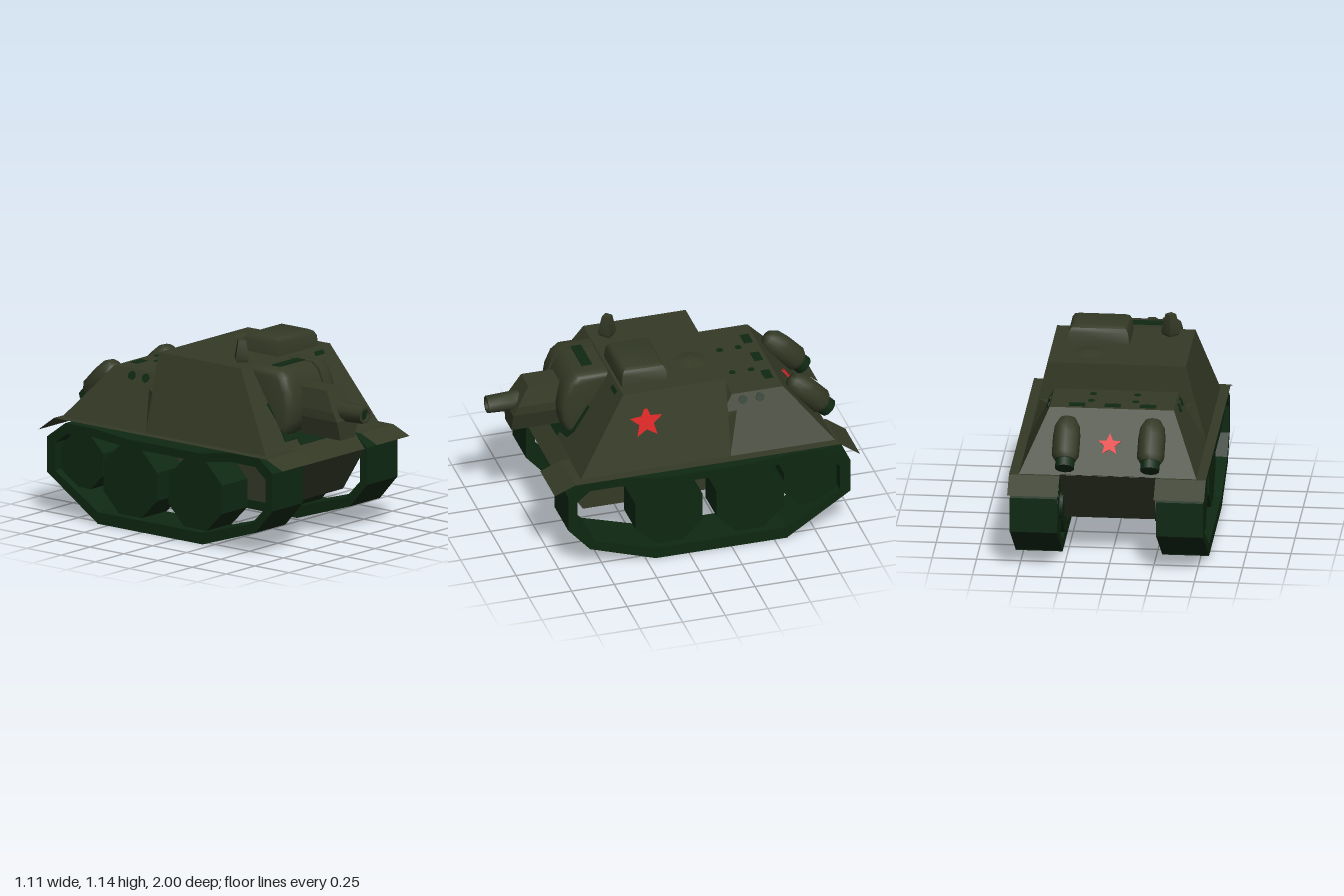
import * as THREE from 'three';
import { toCreasedNormals } from 'three/addons/utils/BufferGeometryUtils.js';

const mat = (name, color, side = THREE.FrontSide) =>
  Object.assign(new THREE.MeshStandardMaterial({ color, side }), { name });

// Skin a closed body through cross-sections (lists of [x, y, z]); crease = smoothing angle
function loft(sections, crease = 0) {
  const n = sections[0].length, tris = [];
  for (let s = 0; s < sections.length - 1; s++) {
    for (let i = 0; i < n; i++) {
      const j = (i + 1) % n, a = sections[s], b = sections[s + 1];
      tris.push([a[i], a[j], b[j]], [a[i], b[j], b[i]]);
    }
  }
  const first = sections[0], last = sections[sections.length - 1];
  for (let i = 1; i < n - 1; i++) {
    tris.push([first[0], first[i + 1], first[i]], [last[0], last[i], last[i + 1]]);
  }
  // Turn the faces outward when the enclosed volume comes out negative
  const v = (p) => new THREE.Vector3(...p);
  const volume = tris.reduce((sum, [a, b, c]) => sum + v(a).dot(v(b).cross(v(c))), 0);
  if (volume < 0) tris.forEach((t) => t.reverse());
  const g = new THREE.BufferGeometry();
  g.setAttribute('position', new THREE.Float32BufferAttribute(tris.flat(2), 3));
  g.computeVertexNormals();
  return crease ? toCreasedNormals(g, crease) : g;
}

const rectY = (x0, x1, z0, z1, y) => [[x0, y, z0], [x1, y, z0], [x1, y, z1], [x0, y, z1]];
const across = (profile, xs) => xs.map((x) => profile.map(([z, y]) => [x, y, z]));
const shapeOf = (pts) => new THREE.Shape(pts.map((p) => new THREE.Vector2(...p)));
const rectShape = (w, h) => shapeOf([[-w / 2, -h / 2], [w / 2, -h / 2], [w / 2, h / 2], [-w / 2, h / 2]]);
const discShape = (r) => new THREE.Shape().absarc(0, 0, r, 0, Math.PI * 2);
const starShape = (r) => shapeOf(Array.from({ length: 10 }, (_, i) => {
  const a = Math.PI / 2 + (i * Math.PI) / 5, q = i % 2 ? r * 0.45 : r;
  return [Math.cos(a) * q, Math.sin(a) * q];
}));

export function createModel() {
  const model = new THREE.Group();
  const olive = mat('olive armour', 0x343a26);
  const oliveSheet = mat('olive sheet', 0x343a26, THREE.DoubleSide);
  const green = mat('dark green', 0x0e2812);
  const red = mat('red paint', 0xdd2222);

  const add = (name, geometry, material, x = 0, y = 0, z = 0) => {
    const mesh = new THREE.Mesh(geometry, material);
    mesh.name = name;
    mesh.position.set(x, y, z);
    model.add(mesh);
    return mesh;
  };
  // Thin painted plate lying on a face with the given normal
  const decal = (name, shape, material, pos, normal, up = [0, 1, 0]) => {
    const n = new THREE.Vector3(...normal).normalize();
    const r = new THREE.Vector3(...up).cross(n).normalize();
    const u = n.clone().cross(r);
    const g = new THREE.ExtrudeGeometry(shape, { depth: 0.005, bevelEnabled: false, curveSegments: 4 });
    const mesh = add(name, g, material, ...pos);
    mesh.quaternion.setFromRotationMatrix(new THREE.Matrix4().makeBasis(r, u, n));
  };

  // Lower hull between the tracks
  const hull = [[0.54, 0.225], [0.7, 0.48], [0.62, 0.568], [-0.87, 0.568], [-0.62, 0.225]];
  add('lowerHull', loft(across(hull, [-0.27, 0.27])), olive);

  // Sloped fighting compartment
  add('superstructure', loft([
    rectY(-0.5, 0.5, -0.26, 0.62, 0.565),
    rectY(-0.385, 0.395, -0.26, 0.34, 1.01),
  ]), olive);

  // Engine deck falling away to the tail
  const deck = [[-0.25, 0.386, 0.8], [-0.31, 0.35, 0.875], [-0.61, 0.35, 0.875], [-0.87, 0.5, 0.565]];
  add('engineDeck', loft(deck.map(([z, x, y]) =>
    [[-0.5, 0.565, z], [0.5, 0.565, z], [x, y, z], [-x, y, z]])), olive);

  const wheels = [[0.104, 0.265, 0.213], [-0.372, 0.265, 0.213], [-0.725, 0.332, 0.167]];
  const outer = [[0.61, 0.56], [0.4, 0.56], [0.17, 0.522], [-0.35, 0.522], [-0.61, 0.545], [-0.81, 0.545],
    [-0.945, 0.447], [-0.945, 0.244], [-0.58, 0.005], [-0.58, 0], [0.195, 0], [0.58, 0.126], [0.708, 0.27], [0.708, 0.485]];
  const inner = [[0.58, 0.507], [0.4, 0.507], [0.17, 0.474], [-0.35, 0.474], [-0.61, 0.495], [-0.795, 0.485],
    [-0.885, 0.42], [-0.885, 0.26], [-0.57, 0.067], [0.195, 0.067], [0.553, 0.174], [0.655, 0.281], [0.655, 0.445]];
  const fender = [[0.79, 0.515], [0.67, 0.565], [-0.885, 0.565], [-1, 0.48]];

  for (const s of [1, -1]) {
    const side = s > 0 ? 'left' : 'right';

    // Track band
    const band = shapeOf(outer);
    band.holes.push(new THREE.Path(inner.map((p) => new THREE.Vector2(...p))));
    const track = new THREE.ExtrudeGeometry(band, { depth: 0.265, bevelEnabled: false });
    track.rotateY(-Math.PI / 2);
    add(`${side}Track`, track, green, s > 0 ? 0.545 : -0.28);

    // Eight-sided wheels on short axles
    for (const [z, y, r] of wheels) {
      const wheel = new THREE.CylinderGeometry(r, r, 0.22, 8).rotateY(Math.PI / 8).rotateZ(Math.PI / 2).toNonIndexed();
      wheel.computeVertexNormals();
      add(`${side}Wheel`, wheel, green, s * 0.39, y, z);
      add(`${side}Axle`, new THREE.CylinderGeometry(0.08, 0.08, 0.03, 8).rotateZ(Math.PI / 2), green, s * 0.275, y, z);
    }

    // Sheet fender with drooping ends
    for (let i = 0; i < 3; i++) {
      const [[z0, y0], [z1, y1]] = [fender[i], fender[i + 1]];
      const sheet = new THREE.PlaneGeometry(0.285, Math.hypot(z1 - z0, y1 - y0)).rotateX(-Math.PI / 2);
      sheet.rotateX(Math.atan2(y1 - y0, z0 - z1));
      add(`${side}Fender`, sheet, oliveSheet, s * 0.4125, (y0 + y1) / 2, (z0 + z1) / 2);
    }

    // Small gusset joining compartment and deck
    const foot = [s * 0.5, 0.57, -0.255];
    add(`${side}Gusset`, loft([
      [foot, foot, foot],
      [[s * 0.443, 0.79, -0.255], [s * 0.385, 0.79, -0.335], [s * 0.37, 0.79, -0.255]],
    ]), olive);

    // Exhaust with green outlet
    const exhaust = new THREE.Group();
    exhaust.name = `${side}Exhaust`;
    const body = [[0, 0], [0.045, 0.015], [0.07, 0.06], [0.077, 0.12], [0.077, 0.24], [0.06, 0.27], [0, 0.27]];
    const shell = toCreasedNormals(new THREE.LatheGeometry(body.map((p) => new THREE.Vector2(...p)), 12), 0.9);
    const outlet = new THREE.Mesh(new THREE.CylinderGeometry(0.055, 0.055, 0.08, 10), green);
    outlet.position.y = 0.28;
    outlet.name = 'exhaustOutlet';
    const casing = new THREE.Mesh(shell, olive);
    casing.name = 'exhaustCasing';
    exhaust.add(casing, outlet);
    exhaust.position.set(s * 0.24, 0.85, -0.685);
    exhaust.quaternion.setFromUnitVectors(new THREE.Vector3(0, 1, 0), new THREE.Vector3(0, -0.72, -0.69).normalize());
    model.add(exhaust);

    // Ports on the deck sides
    for (const z of [-0.37, -0.47]) {
      decal(`${side}DeckPort`, discShape(0.026), green, [s * 0.367, 0.84, z], [s * 0.31, 0.15, 0]);
    }
  }

  // Gun mantlet: two rounded cheeks and a recessed middle band
  const mantlet = [[0.34, 1.005], [0.53, 1.005], [0.575, 0.97], [0.61, 0.89], [0.625, 0.8],
    [0.62, 0.72], [0.6, 0.66], [0.56, 0.625], [0.4, 0.625]];
  const cheekSteps = [[0.102, 1], [0.16, 1], [0.19, 0.97], [0.205, 0.93], [0.213, 0.85]];
  for (const s of [1, -1]) {
    add('mantletCheek', loft(cheekSteps.map(([d, k]) => mantlet.map(([z, y]) =>
      [-0.0825 + s * d, 0.81 + (y - 0.81) * k, 0.34 + (z - 0.34) * k])), 0.9), olive);
  }
  add('mantletBand', loft(across(mantlet.map(([z, y]) => [z - 0.012, y - 0.004]), [-0.186, 0.021]), 0.7), olive);
  decal('mantletSlot', rectShape(0.22, 0.06), green, [-0.09, 1.003, 0.44], [0, 1, 0], [0, 0, -1]);

  // Dark apron around the foot of the mantlet
  decal('mantletApron', shapeOf([[-0.22, -0.11], [-0.115, -0.11], [-0.11, -0.15], [0.1, -0.15], [0.1, -0.12],
    [0.2, -0.1], [0.235, -0.04], [0.235, 0.13], [-0.23, 0.13], [-0.21, 0]]), green,
  [-0.08, 0.7, 0.535], [0, 0.28, 0.445]);

  // Six-sided gun cradle with sloping nose
  const cradle = [[0.062, 0.63, 0.87], [0.093, 0.74, 0.87], [0.093, 0.79, 0.842], [0.07, 0.905, 0.775]];
  add('gunCradle', loft(cradle.map(([w, y, z]) => rectY(-0.083 - w, -0.083 + w, 0.52, z, y))), olive);

  // Stubby barrel with a ringed muzzle and dark bore
  const barrel = [[0, 0], [0.06, 0], [0.056, 0.1], [0.05, 0.235], [0.034, 0.235], [0.03, 0.2]];
  const tube = new THREE.LatheGeometry(barrel.map((p) => new THREE.Vector2(...p)), 8, Math.PI / 8);
  add('gunBarrel', toCreasedNormals(tube.rotateX(Math.PI / 2), 0.9), olive, -0.083, 0.785, 0.765);
  add('gunBore', new THREE.CircleGeometry(0.034, 8), green, -0.083, 0.785, 0.985);

  // Roof fittings: cupola, periscope, ventilator
  add('cupola', loft([
    rectY(-0.04, 0.315, 0.055, 0.325, 1.0), rectY(-0.03, 0.305, 0.062, 0.318, 1.075),
    rectY(-0.018, 0.29, 0.075, 0.305, 1.098), rectY(0.005, 0.265, 0.095, 0.285, 1.11),
  ], 0.9), olive);
  const scope = [[0, 0], [0.045, 0], [0.055, 0.02], [0.03, 0.125], [0, 0.125]];
  add('periscope', toCreasedNormals(new THREE.LatheGeometry(scope.map((p) => new THREE.Vector2(...p)), 4), 0.7),
    olive, -0.255, 1.012, 0.24);
  add('ventilatorStem', new THREE.CylinderGeometry(0.03, 0.03, 0.03, 8), olive, 0.17, 1.02, -0.12);
  add('ventilatorCap', new THREE.CylinderGeometry(0.025, 0.095, 0.016, 8).rotateY(Math.PI / 8), olive, 0.17, 1.036, -0.12);

  // Painted stars
  decal('sideStar', starShape(0.1), red, [0.432, 0.835, 0.217], [0.445, 0.11, 0]);
  decal('rearStar', starShape(0.068), red, [0, 0.71, -0.748], [0, 0.26, -0.31]);

  // Vision slit and deck grilles
  decal('visionSlit', rectShape(0.075, 0.025), green, [0.278, 0.98, 0.359], [0, 0.28, 0.445]);
  for (const x of [-0.2, 0, 0.2]) {
    decal('deckGrille', rectShape(0.09, 0.05), green, [x, 0.873, -0.56], [0, 1, 0], [0, 0, -1]);
  }
  for (const x of [-0.125, 0.125]) {
    for (const z of [-0.38, -0.49]) decal('deckCap', discShape(0.02), green, [x, 0.873, z], [0, 1, 0], [0, 0, -1]);
  }
  return model;
}
